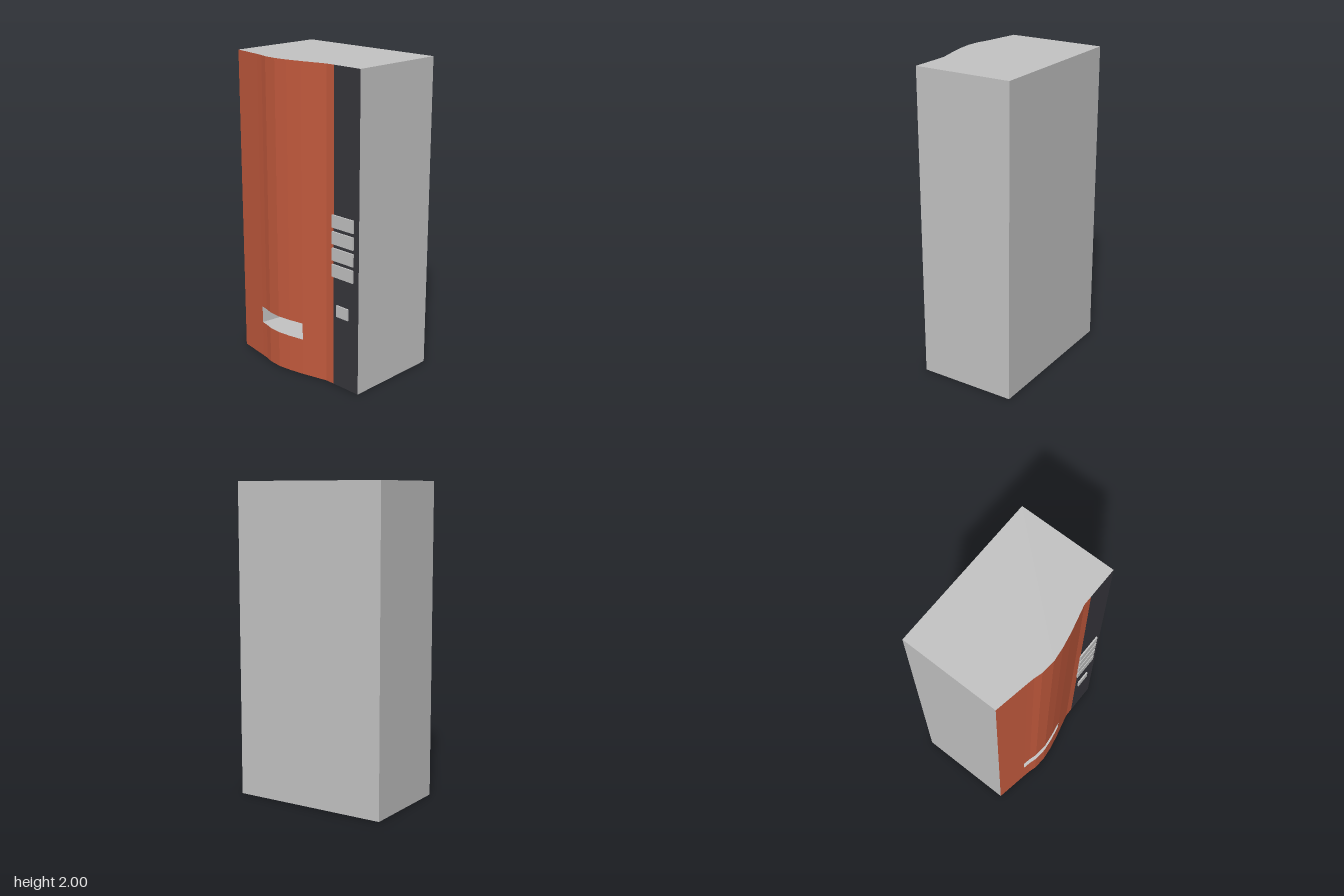
import * as THREE from 'three';

const grey = new THREE.MeshStandardMaterial({ color: 0xc4c4c4 });
grey.name = 'light grey';
const orange = new THREE.MeshStandardMaterial({ color: 0xc55b3e });
orange.name = 'burnt orange';
const dark = new THREE.MeshStandardMaterial({ color: 0x38373d });
dark.name = 'charcoal';

const FLAT = 0.283, BACK = -0.355, HALF = 0.515, HEIGHT = 2;
const SLOT = { y0: 0.24, y1: 0.35 };

// Plan of the curved door as [x, z]; the slot spans the points SLOT_A to SLOT_B
const door = [
  [-HALF, FLAT], [-0.3, 0.321], [-0.25, 0.331], [-0.2, 0.346], [-0.11, 0.354],
  [-0.02, 0.344], [0.08, 0.325], [0.25, FLAT], [0.31, FLAT],
];
const SLOT_A = 1, SLOT_B = 6;

// Vertical faces following a plan line; the outside is to the right of travel
function wall(points, y0, y1) {
  const pos = [];
  for (let i = 0; i < points.length - 1; i++) {
    const [ax, az] = points[i], [bx, bz] = points[i + 1];
    pos.push(ax, y0, az, bx, y0, bz, bx, y1, bz, ax, y0, az, bx, y1, bz, ax, y1, az);
  }
  const g = new THREE.BufferGeometry();
  g.setAttribute('position', new THREE.Float32BufferAttribute(pos, 3));
  g.computeVertexNormals();
  return g;
}

// Horizontal face filling a plan outline, facing up or down
function slab(points, y, up) {
  const s = up ? -1 : 1;
  const shape = new THREE.Shape(points.map(([x, z]) => new THREE.Vector2(x, s * z)));
  return new THREE.ShapeGeometry(shape).rotateX(s * Math.PI / 2).translate(0, y, 0);
}

export function createModel() {
  const model = new THREE.Group();
  model.name = 'vendingMachine';
  const add = (name, geometry, material, parent = model) => {
    const mesh = new THREE.Mesh(geometry, material);
    mesh.name = name;
    parent.add(mesh);
    return mesh;
  };

  // Cabinet: sides, back, top and base
  const cabinet = new THREE.Group();
  cabinet.name = 'cabinet';
  model.add(cabinet);
  const outline = [...door, [HALF, FLAT], [HALF, BACK], [-HALF, BACK]];
  add('cabinetWalls', wall([...outline.slice(-3), door[0]], 0, HEIGHT), grey, cabinet);
  add('cabinetTop', slab(outline, HEIGHT, true), grey, cabinet);
  add('cabinetBase', slab(outline, 0, false), grey, cabinet);

  // Curved door, left open at the dispensing slot
  const doorGroup = new THREE.Group();
  doorGroup.name = 'door';
  model.add(doorGroup);
  add('doorLower', wall(door, 0, SLOT.y0), orange, doorGroup);
  add('doorUpper', wall(door, SLOT.y1, HEIGHT), orange, doorGroup);
  add('doorBesideSlotRight', wall(door.slice(0, SLOT_A + 1), SLOT.y0, SLOT.y1), orange, doorGroup);
  add('doorBesideSlotLeft', wall(door.slice(SLOT_B), SLOT.y0, SLOT.y1), orange, doorGroup);

  // Dispensing slot: tapering recess behind the opening
  const slot = new THREE.Group();
  slot.name = 'dispensingSlot';
  model.add(slot);
  const inner = [door[SLOT_A], [-0.265, 0.1], [0.045, 0.1], door[SLOT_B]];
  const floor = [...door.slice(SLOT_A, SLOT_B + 1), inner[2], inner[1]];
  add('slotWalls', wall(inner, SLOT.y0, SLOT.y1), grey, slot);
  add('slotFloor', slab(floor, SLOT.y0, true), grey, slot);
  add('slotCeiling', slab(floor, SLOT.y1, false), grey, slot);

  // Control strip beside the door
  add('controlStrip', wall([[0.31, FLAT], [HALF, FLAT]], 0, HEIGHT), dark);

  // Four selection buttons and the coin plate
  const raised = (name, x0, x1, y0, y1) =>
    add(name, new THREE.BoxGeometry(x1 - x0, y1 - y0, 0.02), grey)
      .position.set((x0 + x1) / 2, (y0 + y1) / 2, FLAT);
  for (let i = 0; i < 4; i++) {
    const y = 0.72 + i * 0.104;
    raised('selectionButton' + (i + 1), 0.303, 0.474, y, y + 0.08);
  }
  raised('coinPlate', 0.339, 0.435, 0.467, 0.541);

  return model;
}
